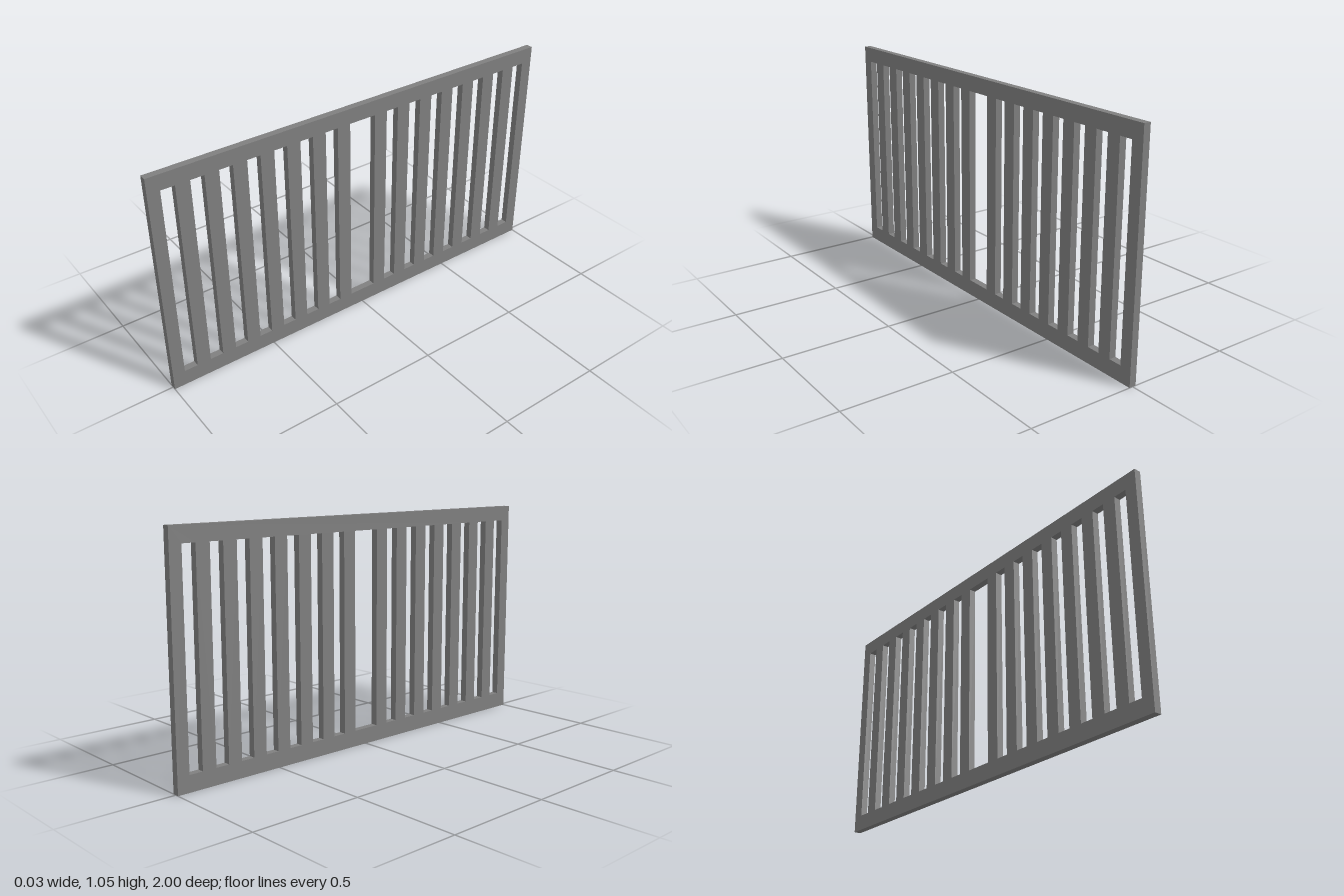
import * as THREE from 'three';

const HEIGHT = 1.047, THICK = 0.032;
const SLOT_BOTTOM = 0.073, SLOT_TOP = 0.977;

// Rectangle corners, for the outline and the slots
function rect(path, x0, x1, y0, y1) {
  path.moveTo(x0, y0);
  path.lineTo(x1, y0);
  path.lineTo(x1, y1);
  path.lineTo(x0, y1);
  path.closePath();
  return path;
}

export function createModel() {
  const group = new THREE.Group();
  group.name = 'slattedPanel';
  const grey = new THREE.MeshStandardMaterial({ color: 0x7f7f7f });
  grey.name = 'grey';

  // Outer frame outline
  const outline = rect(new THREE.Shape(), -1, 1, 0, HEIGHT);
  const addSlot = (x0, x1) =>
    outline.holes.push(rect(new THREE.Path(), x0, x1, SLOT_BOTTOM, SLOT_TOP));

  // Wide middle opening, then seven narrow slots mirrored on each side
  addSlot(-0.066, 0.066);
  for (let i = 0; i < 7; i++) {
    const inner = 0.13 + i * 0.1255, outer = inner + 0.0615;
    addSlot(inner, outer);
    addSlot(-outer, -inner);
  }

  // Panel stands along z, centred in thickness
  const geometry = new THREE.ExtrudeGeometry(outline, { depth: THICK, bevelEnabled: false });
  geometry.translate(0, 0, -THICK / 2);
  geometry.rotateY(Math.PI / 2);
  const panel = new THREE.Mesh(geometry, grey);
  panel.name = 'railingPanel';
  group.add(panel);
  return group;
}
